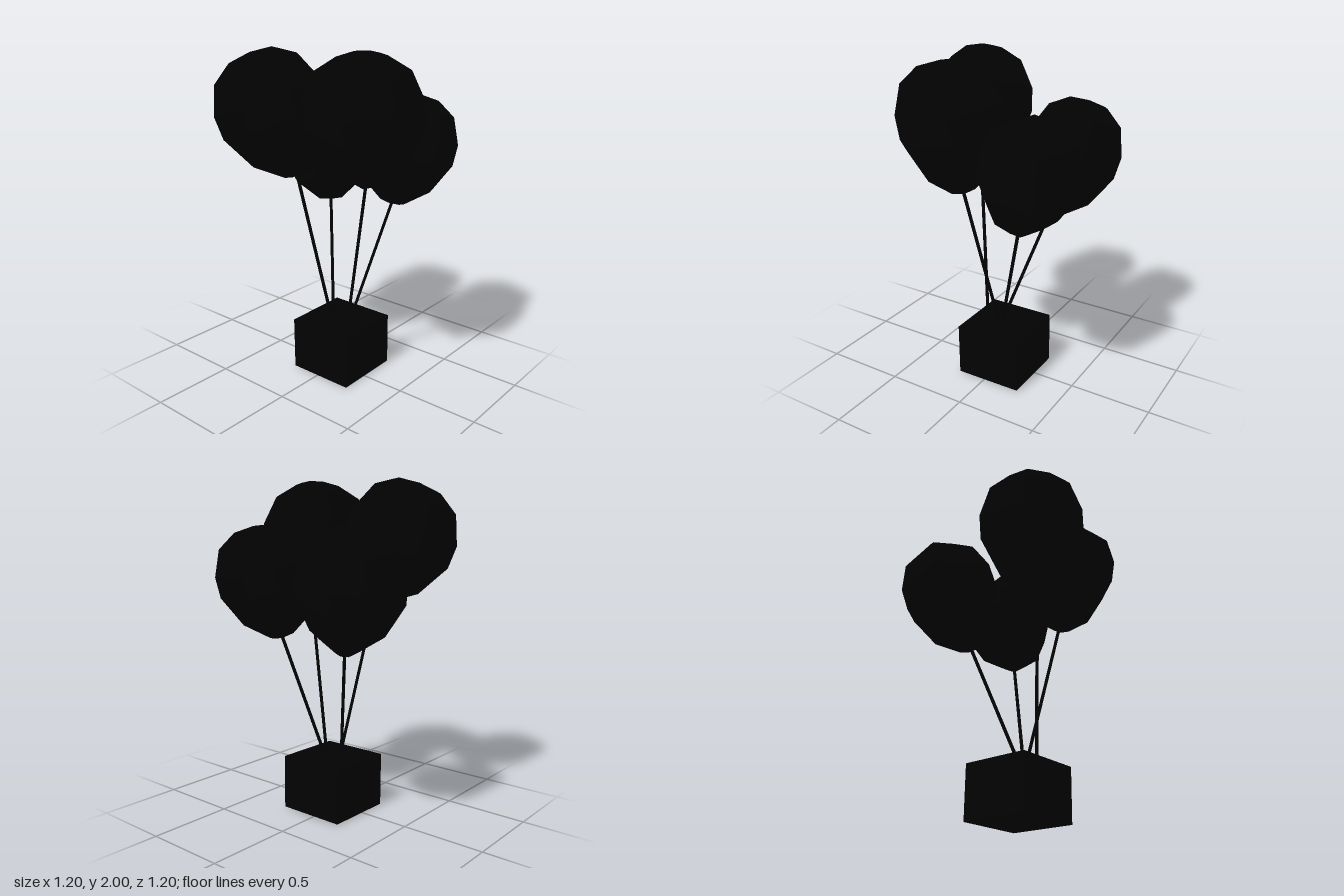
import * as THREE from 'three';

const V = (x, y, z) => new THREE.Vector3(x, y, z);
const UP = V(0, 1, 0);

// Stand a y-axis mesh between two points
function span(mesh, from, to) {
  mesh.position.copy(from);
  mesh.quaternion.setFromUnitVectors(UP, to.clone().sub(from).normalize());
  return mesh;
}

// Balloon profile: [radius fraction, height fraction]
const PROFILE = [[0, 0], [0.24, 0.01], [0.69, 0.17], [1, 0.45], [1, 0.64], [0.78, 0.87], [0.4, 0.98], [0, 1]];

// Uneven seven-sided outline seen from above: [angle from x towards z in degrees, radius fraction]
const OUTLINE = [[163, 0.96], [108, 0.92], [53, 0.99], [17, 0.84], [-21, 0.99], [-57, 1.04], [-120, 1.08]];

// Lathe whose gores are moved onto the uneven outline
function balloonGeometry(radius, height) {
  const points = PROFILE.map(([r, h]) => new THREE.Vector2(r * radius, h * height));
  const geometry = new THREE.LatheGeometry(points, OUTLINE.length);
  const position = geometry.attributes.position;
  for (let i = 0; i < position.count; i++) {
    const [angle, scale] = OUTLINE[Math.floor(i / points.length) % OUTLINE.length];
    const a = THREE.MathUtils.degToRad(angle);
    const r = points[i % points.length].x * scale;
    position.setX(i, r * Math.cos(a));
    position.setZ(i, r * Math.sin(a));
  }
  geometry.computeVertexNormals();
  return geometry;
}

export function createModel() {
  const model = new THREE.Group();
  const material = new THREE.MeshStandardMaterial({ color: 0x020202, flatShading: true });

  // Box that the balloons carry
  const box = new THREE.Mesh(new THREE.BoxGeometry(0.42, 0.325, 0.42), material);
  box.name = 'box';
  box.position.set(0.026, 0.168, 0.02);
  box.rotation.z = 0.012;
  model.add(box);

  // Each balloon: string foot, balloon bottom, balloon top, radius
  const balloons = [
    ['backRight', V(-0.08, 0.3, 0.05), V(-0.22, 1.285, -0.1), V(-0.355, 1.97, -0.325), 0.317],
    ['frontRight', V(0.025, 0.3, 0.07), V(-0.085, 1.265, 0.295), V(-0.195, 1.985, 0.34), 0.323],
    ['backLeft', V(-0.015, 0.3, -0.01), V(0.205, 1.025, -0.215), V(0.355, 1.705, -0.38), 0.293],
    ['frontLeft', V(0.03, 0.3, 0.075), V(0.245, 1.075, 0.235), V(0.38, 1.72, 0.315), 0.297],
  ];

  for (const [side, foot, bottom, top, radius] of balloons) {
    // Faceted balloon, tapering to its bottom
    const skin = balloonGeometry(radius, bottom.distanceTo(top));
    const balloon = span(new THREE.Mesh(skin, material), bottom, top);
    balloon.name = side + 'Balloon';

    // String running just into the balloon
    const end = bottom.clone().lerp(top, 0.06);
    const length = foot.distanceTo(end);
    const cord = new THREE.CylinderGeometry(0.01, 0.01, length, 6).translate(0, length / 2, 0);
    const string = span(new THREE.Mesh(cord, material), foot, end);
    string.name = side + 'String';

    model.add(balloon, string);
  }
  return model;
}
